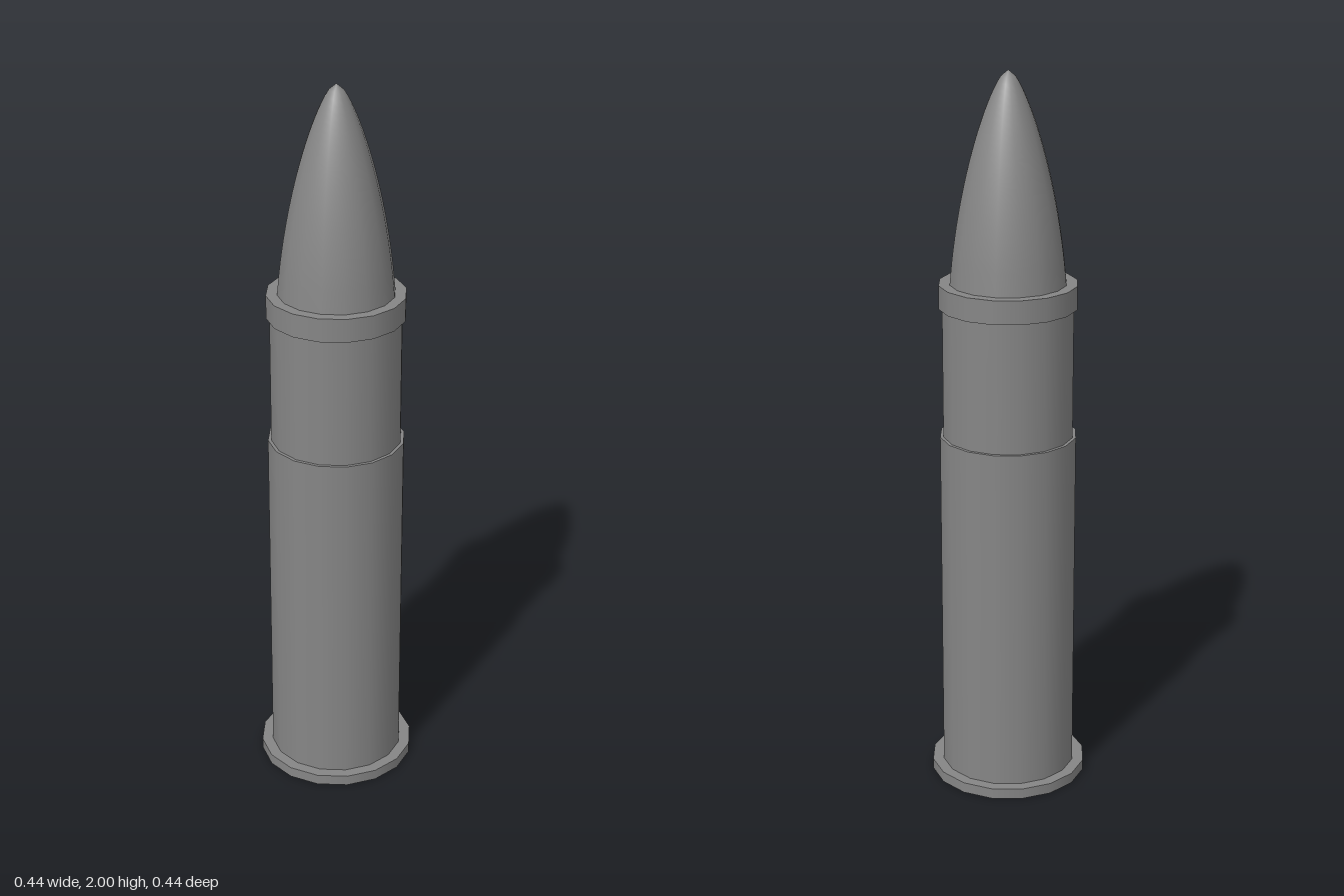
import * as THREE from 'three';

const SIDES = 16;

export function createModel() {
  const group = new THREE.Group();
  const material = new THREE.MeshStandardMaterial({ color: 0x868686 });

  const add = (name, geometry) => {
    const mesh = new THREE.Mesh(geometry, material);
    mesh.name = name;
    group.add(mesh);
    return mesh;
  };

  // Stacked cylinders: name, radius, bottom, top
  const sections = [
    ['rim', 0.219, 0, 0.03],
    ['lowerCase', 0.188, 0.03, 1.01],
    ['upperCase', 0.179, 1.01, 1.37],
    ['collar', 0.188, 1.37, 1.435],
  ];
  for (const [name, radius, bottom, top] of sections) {
    const geometry = new THREE.CylinderGeometry(radius, radius, top - bottom, SIDES);
    add(name, geometry).position.y = (bottom + top) / 2;
  }

  // Pointed tip: a curve between a rounded and a tangent ogive nose
  const base = 1.435, height = 2 - base, steps = 24;
  const profile = [];
  for (let i = 0; i <= steps; i++) {
    const t = 1 - Math.pow(i / steps, 0.7); // 1 at base, 0 at point
    const r = 0.158 * (0.6 * Math.sqrt(t) + 0.4 * (1 - (1 - t) ** 2));
    profile.push(new THREE.Vector2(r, 2 - t * height));
  }
  add('tip', new THREE.LatheGeometry(profile, SIDES));

  return group;
}
